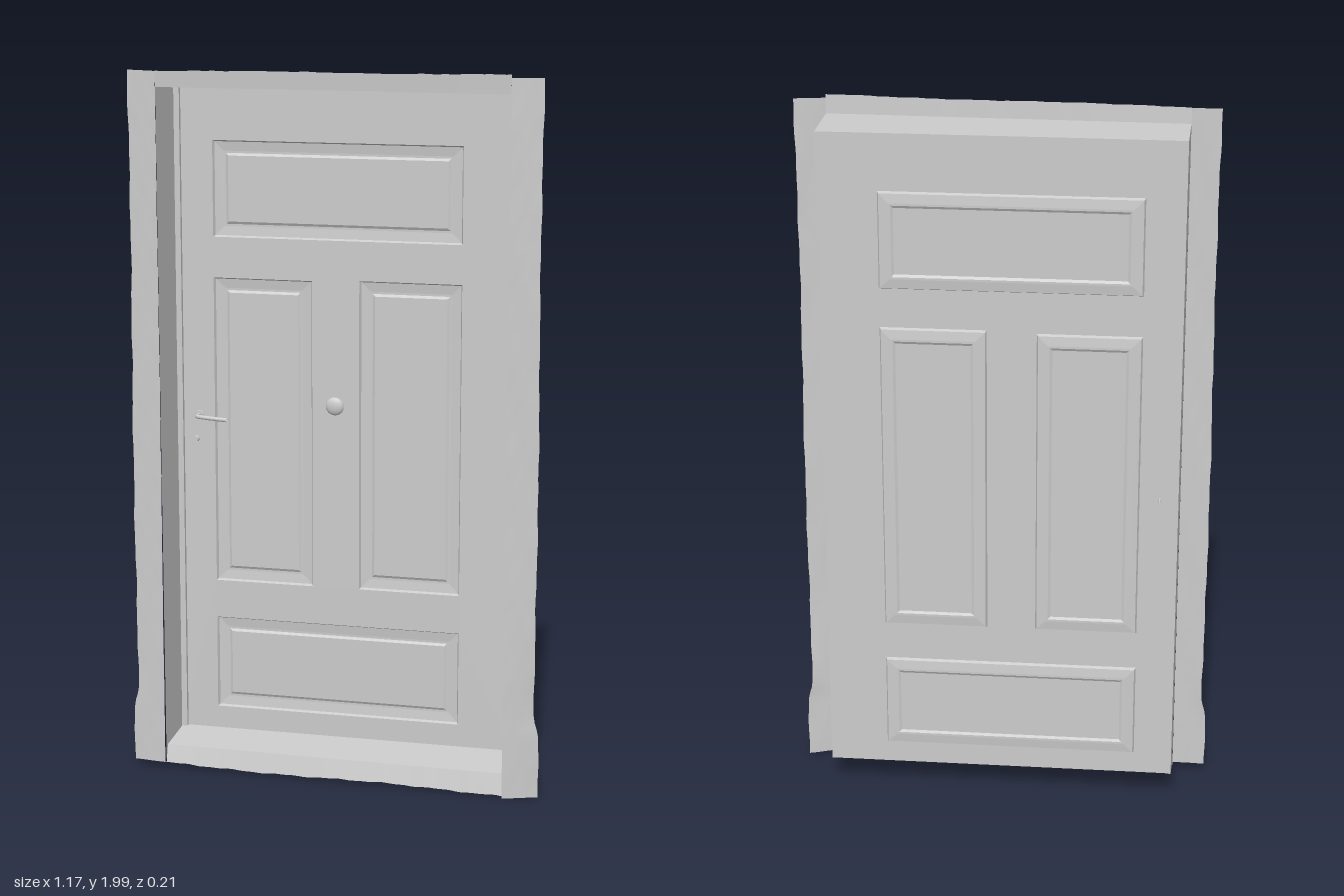
import * as THREE from 'three';

const L = -0.497, R = 0.483, TOP = 1.947, SILL = 0.08;   // opening
const LEAF = -0.08, FACE = 0.097;                        // depth of door leaf and of wall face

const material = new THREE.MeshStandardMaterial({ color: 0xcccccc, side: THREE.DoubleSide });

// The whole doorway is very slightly skewed in plan.
const leafZ = (x) => LEAF - 0.009 * x;
const faceZ = (x) => FACE + 0.006 * x;

// Smooth wobble for the ragged plaster edges
const wobble = (t, s) => 0.004 * Math.sin(t * 9 + s) + 0.002 * Math.sin(t * 41 + s * 3) + 0.0015 * Math.sin(t * 97 + s * 7);

function add(group, name, geometry) {
  const mesh = new THREE.Mesh(geometry, material);
  mesh.name = name;
  group.add(mesh);
  return mesh;
}

// Thin sheet: rule(u, v) gives [x, y, z] for u, v from 0 to 1
function sheet(nu, nv, rule) {
  const g = new THREE.PlaneGeometry(1, 1, nu, nv);
  const p = g.attributes.position;
  for (let i = 0; i < p.count; i++) p.setXYZ(i, ...rule(p.getX(i) + 0.5, p.getY(i) + 0.5));
  g.computeVertexNormals();
  return g;
}

// Sunk panel: nested rectangles [inset, depth], closed by a flat field
function panelGeometry(x0, x1, y0, y1, rings) {
  const pos = [], idx = [];
  for (const [d, z] of rings) {
    for (const [x, y] of [[x0 + d, y0 + d], [x1 - d, y0 + d], [x1 - d, y1 - d], [x0 + d, y1 - d]]) {
      pos.push(x, y, leafZ(x) + z);
    }
  }
  for (let r = 0; r < rings.length - 1; r++) {
    for (let k = 0; k < 4; k++) {
      const a = r * 4 + k, b = r * 4 + (k + 1) % 4;
      idx.push(a, b, b + 4, a, b + 4, a + 4);
    }
  }
  const n = (rings.length - 1) * 4;
  idx.push(n, n + 1, n + 2, n, n + 2, n + 3);
  const g = new THREE.BufferGeometry();
  g.setAttribute('position', new THREE.Float32BufferAttribute(pos, 3));
  g.setIndex(idx);
  const flat = g.toNonIndexed();
  flat.computeVertexNormals();
  return flat;
}

function rectPath(path, x0, x1, y0, y1) {
  path.moveTo(x0, y0).lineTo(x1, y0).lineTo(x1, y1).lineTo(x0, y1).closePath();
  return path;
}

export function createModel() {
  const model = new THREE.Group();
  model.name = 'doorway';

  // Door leaf with four panel openings
  const panels = [
    ['topPanel', -0.39, 0.32, 1.52, 1.79],
    ['leftMiddlePanel', -0.39, -0.105, 0.525, 1.405],
    ['rightMiddlePanel', 0.03, 0.32, 0.525, 1.41],
    ['bottomPanel', -0.39, 0.32, 0.145, 0.415],
  ];
  const outline = rectPath(new THREE.Shape(), L, R, SILL, TOP);
  for (const [, ...r] of panels) outline.holes.push(rectPath(new THREE.Path(), ...r));
  const leaf = new THREE.ShapeGeometry(outline);
  const p = leaf.attributes.position;
  for (let i = 0; i < p.count; i++) p.setZ(i, leafZ(p.getX(i)));
  leaf.computeVertexNormals();
  add(model, 'doorLeaf', leaf);

  const moulding = [[0, 0], [0.004, -0.009], [0.03, -0.012], [0.036, -0.012], [0.043, -0.008]];
  for (const [name, ...r] of panels) add(model, name, panelGeometry(...r, moulding));

  // Deep reveal around the door: two jambs, head and sloping sill
  const mixZ = (x, t) => THREE.MathUtils.lerp(leafZ(x), faceZ(x), t);
  const jamb = (x) => sheet(1, 1, (u, v) => [x, THREE.MathUtils.lerp(SILL - 0.05 * u, TOP, v), mixZ(x, u * (1 - 0.06 * (1 - v)))]);
  add(model, 'rightJamb', jamb(L));
  add(model, 'leftJamb', jamb(R));
  add(model, 'head', sheet(1, 1, (u, v) => {
    const x = THREE.MathUtils.lerp(L, R, u);
    return [x, TOP, mixZ(x, v)];
  }));
  add(model, 'sill', sheet(1, 1, (u, v) => {
    const x = THREE.MathUtils.lerp(L, R, u);
    return [x, SILL - 0.012 * v, mixZ(x, v * 0.86)];
  }));
  add(model, 'sillApron', sheet(60, 2, (u, v) => {
    const x = THREE.MathUtils.lerp(L, R, u);
    return [x, THREE.MathUtils.lerp(0.016 - 0.006 * u + wobble(u, 2) * 0.6, 0.068, v), mixZ(x, 0.86) + 0.014 * (1 - v)];
  }));

  // Narrow stops where the leaf meets the frame
  const stop = (w, h, x, y) => add(model, 'doorStop', new THREE.BoxGeometry(w, h, 0.014)).position.set(x, y, LEAF + 0.009);
  stop(0.016, TOP - SILL, L + 0.008, (TOP + SILL) / 2);
  stop(R - L, 0.008, (R + L) / 2, TOP - 0.004);

  // Ragged wall strips around the opening
  const flare = (y) => 0.013 * THREE.MathUtils.smoothstep(0.24 - y, 0, 0.06);
  add(model, 'rightWallStrip', sheet(4, 100, (u, v) => {
    const y = 0.022 + v * 1.968;
    const edge = -0.577 - flare(y) + 0.5 * wobble(v, 1);
    return [THREE.MathUtils.lerp(L, edge, u), y + u * 0.002, faceZ(L) - 0.004 * u + 0.3 * wobble(v, u * 2)];
  }));
  add(model, 'leftWallStrip', sheet(4, 100, (u, v) => {
    const y = 0.005 + v * 1.985;
    const edge = 0.567 + flare(y) + 0.5 * wobble(v, 4);
    const curl = 0.02 * u * THREE.MathUtils.smoothstep(0.6 - y, 0, 0.6);
    return [THREE.MathUtils.lerp(R, edge, u), y, faceZ(R) - 0.015 * u - curl + 0.3 * wobble(v, u * 2)];
  }));
  add(model, 'topWallStrip', sheet(80, 2, (u, v) => {
    const x = THREE.MathUtils.lerp(L, R, u);
    return [x, THREE.MathUtils.lerp(TOP, 1.992 + 0.006 * u + 0.3 * wobble(u, 5), v), faceZ(x) + 0.003 * v];
  }));

  // Lever handle
  const handle = new THREE.Group();
  handle.name = 'handle';
  handle.position.set(-0.435, 1.01, leafZ(-0.435));
  const lever = new THREE.CatmullRomCurve3([
    new THREE.Vector3(0, 0, 0), new THREE.Vector3(0, 0, 0.028),
    new THREE.Vector3(0.02, -0.001, 0.034), new THREE.Vector3(0.09, -0.006, 0.032),
  ]);
  add(handle, 'lever', new THREE.TubeGeometry(lever, 20, 0.006, 8));
  add(handle, 'rosette', new THREE.CylinderGeometry(0.012, 0.014, 0.006, 16)).rotation.x = Math.PI / 2;
  model.add(handle);

  // Keyhole cover with a spindle showing behind
  const keyhole = add(model, 'keyhole', new THREE.CylinderGeometry(0.007, 0.009, 0.01, 12));
  keyhole.rotation.x = Math.PI / 2;
  keyhole.position.set(-0.445, 0.94, leafZ(-0.445) + 0.003);
  const spindle = add(model, 'spindle', new THREE.ConeGeometry(0.005, 0.03, 8));
  spindle.rotation.x = -Math.PI / 2;
  spindle.position.set(-0.445, 0.935, leafZ(-0.445) - 0.015);

  // Round central knob
  const knob = add(model, 'knob', new THREE.SphereGeometry(0.026, 24, 8, 0, Math.PI * 2, 0, Math.PI / 2));
  knob.rotation.x = Math.PI / 2;
  knob.scale.y = 0.45;
  knob.position.set(-0.04, 1.053, leafZ(-0.04));

  return model;
}
